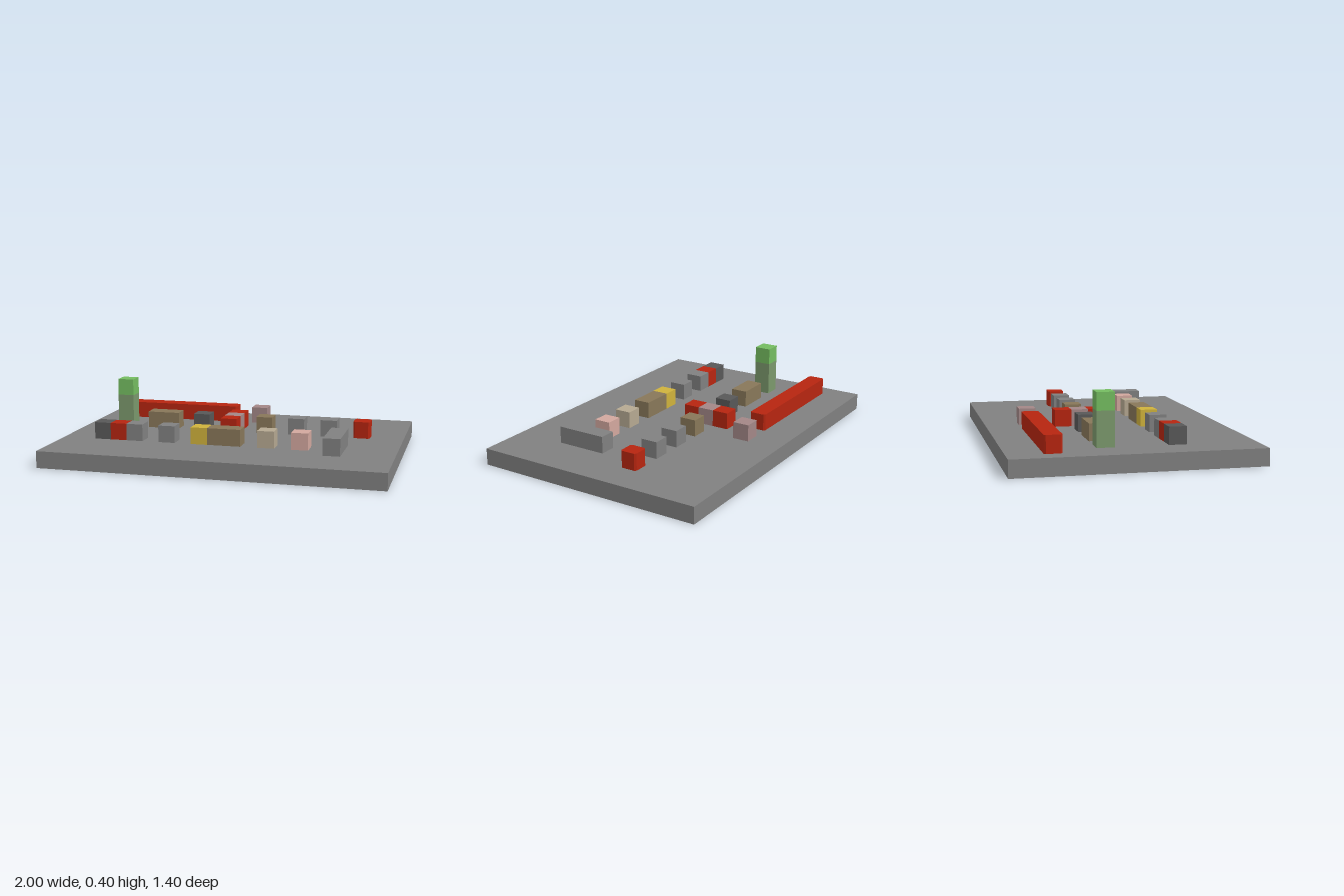
import * as THREE from 'three';

const mat = (name, color) => {
  const m = new THREE.MeshStandardMaterial({ color });
  m.name = name;
  return m;
};

export function createModel() {
  const group = new THREE.Group();
  const M = {
    grey: mat('stone grey', 0x808080),
    dark: mat('dark grey', 0x585858),
    red: mat('red', 0xb62510),
    green: mat('green', 0x74bc60),
    sage: mat('sage green', 0x7b986c),
    brown: mat('brown', 0x887759),
    gold: mat('gold', 0xcfb23c),
    beige: mat('beige', 0xb5a891),
    pink: mat('pink', 0xd2a79e),
    mauve: mat('mauve', 0xa38787),
  };

  const add = (name, geometry, material, x, y, z) => {
    const mesh = new THREE.Mesh(geometry, material);
    mesh.name = name;
    mesh.position.set(x, y, z);
    group.add(mesh);
  };

  // Box given by its minimum corner and its size
  const box = (name, color, x, y, z, w = 0.1, h = 0.1, d = 0.1) =>
    add(name, new THREE.BoxGeometry(w, h, d), M[color], x + w / 2, y + h / 2, z + d / 2);

  // Upright prism with clipped corners, centred on x and z
  const clipped = (name, color, x, y, z, w, h, d, c) => {
    const a = w / 2, b = d / 2;
    const shape = new THREE.Shape([
      [a - c, -b], [a, c - b], [a, b - c], [a - c, b],
      [c - a, b], [-a, b - c], [-a, c - b], [c - a, -b],
    ].map(([px, py]) => new THREE.Vector2(px, py)));
    const geometry = new THREE.ExtrudeGeometry(shape, { depth: h, bevelEnabled: false });
    geometry.rotateX(-Math.PI / 2);
    add(name, geometry, M[color], x, y, z);
  };

  // Ground slab
  box('baseSlab', 'grey', -1, 0.001, -0.7, 2, 0.099, 1.4);

  // Back row: long wall and a single block
  clipped('longWall', 'red', -0.5, 0.1, -0.45, 0.8, 0.1, 0.1, 0.01);
  box('backBlock', 'mauve', 0, 0.1, -0.5);

  // Middle row: [name, colour, x, width]
  [
    ['wideBlock', 'brown', -0.6, 0.2],
    ['darkBlock', 'dark', -0.3, 0.1],
    ['crossCentre', 'mauve', -0.1, 0.1],
    ['brownBlock', 'brown', 0.1, 0.1],
    ['greyBlock', 'grey', 0.3, 0.1],
    ['greyBlock', 'grey', 0.5, 0.1],
  ].forEach(([name, color, x, w]) => box(name, color, x, 0.1, -0.2, w));
  clipped('endBlock', 'red', 0.75, 0.1, -0.15, 0.1, 0.1, 0.1, 0.01);

  // Red blocks before and behind the centre block
  for (const z of [-0.3, -0.1]) box('crossArm', 'red', -0.1, 0.1, z);

  // Tower
  box('towerShaft', 'sage', -0.8, 0.1, -0.2, 0.1, 0.2);
  box('towerTop', 'green', -0.8, 0.3, -0.2);

  // Front row: [name, colour, x, width]
  [
    ['darkBlock', 'dark', -0.8, 0.1],
    ['redBlock', 'red', -0.7, 0.1],
    ['greyBlock', 'grey', -0.6, 0.1],
    ['greyBlock', 'grey', -0.4, 0.1],
    ['goldBlock', 'gold', -0.2, 0.1],
    ['wideBlock', 'brown', -0.1, 0.2],
    ['beigeBlock', 'beige', 0.2, 0.1],
    ['pinkBlock', 'pink', 0.4, 0.1],
  ].forEach(([name, color, x, w]) => box(name, color, x, 0.1, 0.2, w));

  // Bar set crosswise
  box('crosswiseBar', 'grey', 0.6, 0.1, 0.1, 0.1, 0.1, 0.3);

  // Small red marks on the underside
  for (const [x, z] of [[-0.75, -0.15], [-0.55, -0.15], [-0.15, 0.25]])
    clipped('undersideMark', 'red', x, 0, z, 0.075, 0.005, 0.075, 0.015);

  return group;
}
